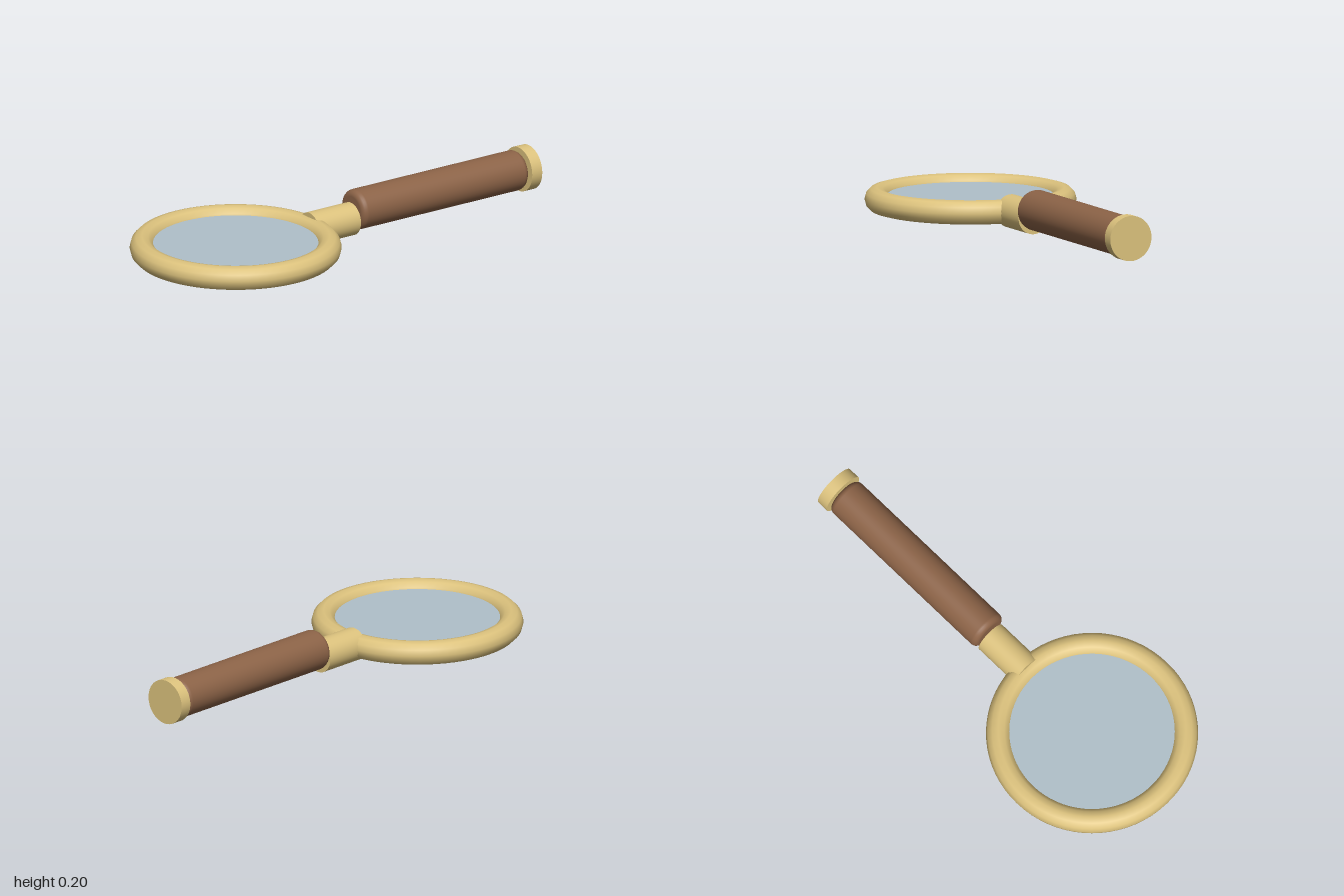
import * as THREE from 'three';

export function createModel() {
  const model = new THREE.Group();
  model.name = 'magnifyingGlass';

  const material = (name, color) => {
    const m = new THREE.MeshStandardMaterial({ color });
    m.name = name;
    return m;
  };
  const brass = material('brass', 0xdcc27d);
  const wood = material('wood', 0x8c6347);
  const glass = material('glass', 0xb0c0c9);

  const add = (name, geometry, mat, y, z) => {
    const mesh = new THREE.Mesh(geometry, mat);
    mesh.name = name;
    mesh.position.set(0, y, z);
    model.add(mesh);
  };
  // Cylinder lying along z
  const rod = (radius, length) =>
    new THREE.CylinderGeometry(radius, radius, length, 48).rotateX(Math.PI / 2);

  const ringY = 0.072, ringZ = 0.55, handleY = 0.108;

  // Lens and its frame
  add('frame', new THREE.TorusGeometry(0.397, 0.052, 12, 72).rotateX(Math.PI / 2), brass, ringY, ringZ);
  add('lens', new THREE.CylinderGeometry(0.36, 0.36, 0.04, 64), glass, ringY, ringZ);

  // Collar joining frame to handle
  add('collar', rod(0.071, 0.22), brass, ringY, 0.05);

  // Handle with rounded ends
  const radius = 0.087, half = 0.44, round = 0.027;
  const profile = [new THREE.Vector2(0, -half)];
  for (const end of [-1, 1]) {
    for (let i = 0; i <= 5; i++) {
      const a = (end < 0 ? i - 5 : i) / 5 * Math.PI / 2;
      profile.push(new THREE.Vector2(
        radius - round + Math.cos(a) * round,
        end * (half - round) + Math.sin(a) * round));
    }
  }
  profile.push(new THREE.Vector2(0, half));
  add('handle', new THREE.LatheGeometry(profile, 48).rotateX(Math.PI / 2), wood, handleY, -0.505);

  // End cap
  add('endCap', rod(0.097, 0.053), brass, handleY, -0.9735);

  return model;
}
